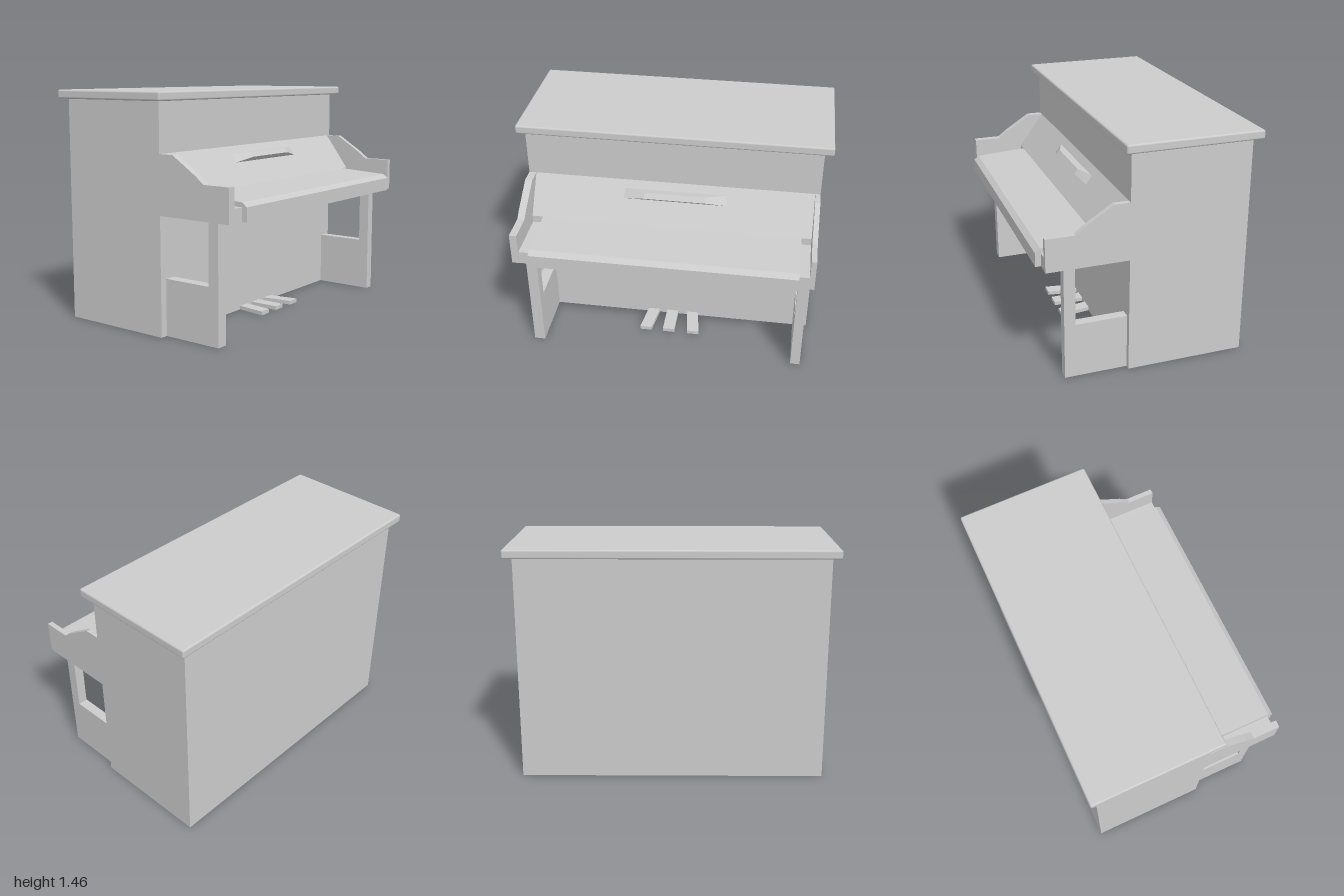
import * as THREE from 'three';
import { RoundedBoxGeometry } from 'three/addons/geometries/RoundedBoxGeometry.js';
import { ConvexGeometry } from 'three/addons/geometries/ConvexGeometry.js';

export function createModel() {
  const piano = new THREE.Group();
  piano.name = 'uprightPiano';
  const material = new THREE.MeshStandardMaterial({ color: 0xcccccc });

  function add(name, geometry) {
    const mesh = new THREE.Mesh(geometry, material);
    mesh.name = name;
    piano.add(mesh);
    return mesh;
  }

  // Box given by its limits on each axis
  function box(name, x0, x1, y0, y1, z0, z1) {
    add(name, new THREE.BoxGeometry(x1 - x0, y1 - y0, z1 - z0))
      .position.set((x0 + x1) / 2, (y0 + y1) / 2, (z0 + z1) / 2);
  }

  // Side profile of [z, y] points, extruded along x
  function profile(name, points, x0, x1) {
    const shape = new THREE.Shape(points.map(([z, y]) => new THREE.Vector2(z, y)));
    const geometry = new THREE.ExtrudeGeometry(shape, { depth: x1 - x0, bevelEnabled: false });
    geometry.rotateY(-Math.PI / 2).translate(x1, 0, 0);
    add(name, geometry);
  }

  // Case and overhanging top lid with softened edges
  box('case', -0.95, 0.945, 0, 1.41, -0.625, 0.13);
  add('topLid', new RoundedBoxGeometry(2, 0.056, 0.85, 2, 0.012)).position.set(0, 1.434, -0.247);

  // Cheeks either side of the keyboard
  const cheek = [[0.12, 0.737], [0.64, 0.737], [0.64, 0.946], [0.46, 0.946],
    [0.4, 0.992], [0.23, 1.1], [0.12, 1.1]];
  profile('rightCheek', cheek, -0.95, -0.903);
  profile('leftCheek', cheek, 0.912, 0.945);

  // Key bed, sloping fallboard and closed key cover
  box('keyBed', -0.903, 0.912, 0.737, 0.822, 0.12, 0.638);
  profile('fallboard', [[0.12, 0.8], [0.3, 0.8], [0.3, 0.87], [0.13, 1.1], [0.12, 1.1]], -0.903, 0.912);
  profile('keyCover', [[0.28, 0.739], [0.673, 0.739], [0.673, 0.825], [0.64, 0.85], [0.3, 0.87], [0.28, 0.87]],
    -0.832, 0.85);

  // Music ledge, tapering into the fallboard at both ends
  const ledge = [];
  for (const [y, z, xa, xb] of [[1.0, 0.2, -0.32, 0.37], [1.055, 0.16, -0.31, 0.36],
    [1.03, 0.236, -0.17, 0.22], [1.061, 0.213, -0.17, 0.22]]) {
    ledge.push(new THREE.Vector3(xa, y, z), new THREE.Vector3(xb, y, z));
  }
  add('musicLedge', new ConvexGeometry(ledge));

  // Legs joined to the case by low side panels
  const leg = [[0.12, 0], [0.525, 0], [0.525, 0.74], [0.455, 0.74], [0.455, 0.352], [0.12, 0.352]];
  profile('rightLeg', leg, -0.903, -0.832);
  profile('leftLeg', leg, 0.85, 0.912);

  // Pedals: the outer two splay outwards towards the front
  [['rightPedal', -0.13, -0.16], ['middlePedal', 0, 0], ['leftPedal', 0.14, 0.17]].forEach(([name, root, tip]) => {
    const geometry = new THREE.BoxGeometry(0.08, 0.025, 0.21);
    const p = geometry.attributes.position;
    for (let i = 0; i < p.count; i++) p.setX(i, p.getX(i) + (p.getZ(i) > 0 ? tip : root));
    geometry.computeVertexNormals();
    add(name, geometry).position.set(0, 0.0125, 0.225);
  });

  return piano;
}
